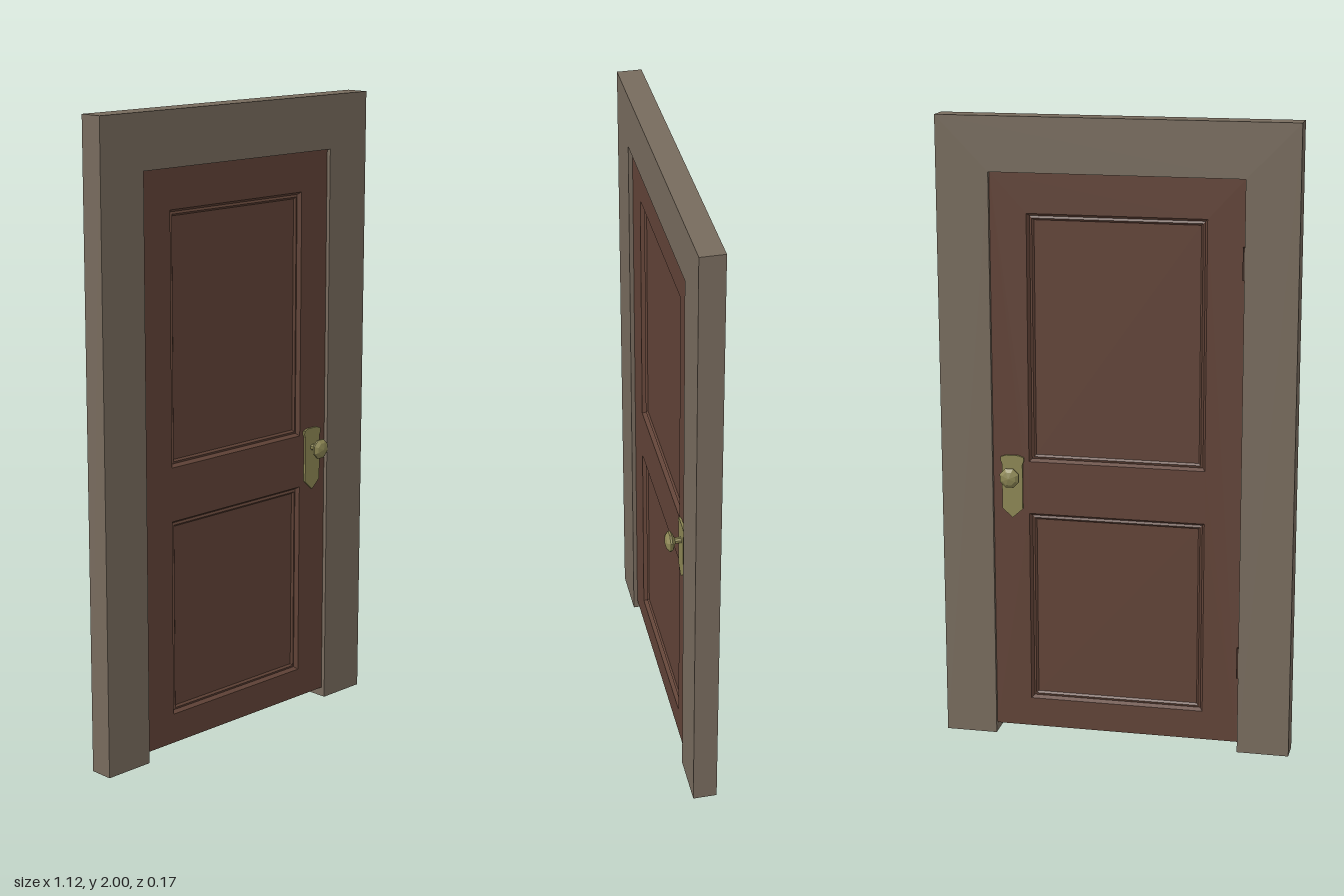
import * as THREE from 'three';

const mat = (name, color) => {
  const m = new THREE.MeshStandardMaterial({ color, flatShading: true });
  m.name = name;
  return m;
};

// Closed polygon from corner points
const poly = (pts) => new THREE.Shape(pts.map(([x, y]) => new THREE.Vector2(x, y)));
const rect = (x0, y0, x1, y1) => [[x0, y0], [x1, y0], [x1, y1], [x0, y1]];

const extrude = (shape, z0, z1) =>
  new THREE.ExtrudeGeometry(shape, { depth: z1 - z0, bevelEnabled: false }).translate(0, 0, z0);

// Rectangular loops stepping inward along a profile of [inset, z], closed by a flat panel
function panelGeometry(x0, y0, x1, y1, profile) {
  const pos = [], index = [];
  profile.forEach(([d, z]) => {
    for (const [x, y] of rect(x0 + d, y0 + d, x1 - d, y1 - d)) pos.push(x, y, z);
  });
  for (let k = 0; k < profile.length - 1; k++) {
    for (let i = 0; i < 4; i++) {
      const a = k * 4 + i, b = k * 4 + (i + 1) % 4;
      index.push(a, b, b + 4, a, b + 4, a + 4);
    }
  }
  const c = (profile.length - 1) * 4;
  index.push(c, c + 1, c + 2, c, c + 2, c + 3);
  const g = new THREE.BufferGeometry();
  g.setAttribute('position', new THREE.Float32BufferAttribute(pos, 3));
  g.setIndex(index);
  const flat = g.toNonIndexed();
  flat.computeVertexNormals();
  return flat;
}

export function createModel() {
  const model = new THREE.Group();
  model.name = 'door';
  const frameMat = mat('frame taupe', 0x776b5d);
  const doorMat = mat('door brown', 0x614337);
  const brassMat = mat('aged brass', 0x8c8654);
  const hingeMat = mat('hinge dark brown', 0x3a2820);

  const add = (parent, name, geometry, material) => {
    const m = new THREE.Mesh(geometry, material);
    m.name = name;
    parent.add(m);
    return m;
  };

  const W = 0.56, OPEN = 0.395, HEAD = 1.83, FZ = 0.038, DZ = 0.025;

  // Surround: two jambs and a head in one outline
  add(model, 'frame', extrude(poly([
    [-W, 0], [-OPEN, 0], [-OPEN, HEAD], [OPEN, HEAD], [OPEN, 0], [W, 0], [W, 2], [-W, 2],
  ]), -FZ, FZ), frameMat);

  // Door slab with two panel openings
  const panels = [[-0.28, 0.125, 0.28, 0.75], [-0.28, 0.92, 0.28, 1.705]];
  const slab = poly(rect(-OPEN, 0.03, OPEN, HEAD));
  panels.forEach((p) => slab.holes.push(poly(rect(...p))));
  add(model, 'doorSlab', extrude(slab, -DZ, DZ), doorMat);

  // Hinge leaves in the reveal of the right jamb
  for (const y of [0.3, 1.575]) {
    const h = add(model, 'hinge', new THREE.BoxGeometry(0.006, 0.1, 0.01), hingeMat);
    h.position.set(-OPEN + 0.003, y, -DZ - 0.005);
  }

  // Moulded panels and handle set, the same on both faces
  const profile = [[0, DZ], [0.008, 0.013], [0.015, 0.016], [0.021, 0.01]];
  const plate = poly([
    [0, -0.14], [0.033, -0.11], [0.033, 0.035], [0.037, 0.045], [0.037, 0.058],
    [0.02, 0.064], [-0.02, 0.064], [-0.037, 0.058], [-0.037, 0.045], [-0.033, 0.035], [-0.033, -0.11],
  ]);
  const knobProfile = [
    [0.01, 0], [0.01, 0.026], [0.022, 0.031], [0.033, 0.038], [0.033, 0.044], [0.022, 0.053], [0, 0.058],
  ].map(([r, y]) => new THREE.Vector2(r, y));

  for (const s of [1, -1]) {
    const side = new THREE.Group();
    side.name = s > 0 ? 'frontFace' : 'backFace';
    side.rotation.y = s > 0 ? 0 : Math.PI;
    model.add(side);
    panels.forEach((p, i) =>
      add(side, i ? 'upperPanel' : 'lowerPanel', panelGeometry(...p, profile), doorMat));

    const handle = new THREE.Group();
    handle.name = 'handle';
    handle.position.set(0.333 * s, 0.875, DZ);
    side.add(handle);
    add(handle, 'backplate', extrude(plate, 0, 0.007), brassMat);
    add(handle, 'knob', new THREE.LatheGeometry(knobProfile, 8, Math.PI / 8).rotateX(Math.PI / 2), brassMat);
  }
  return model;
}
